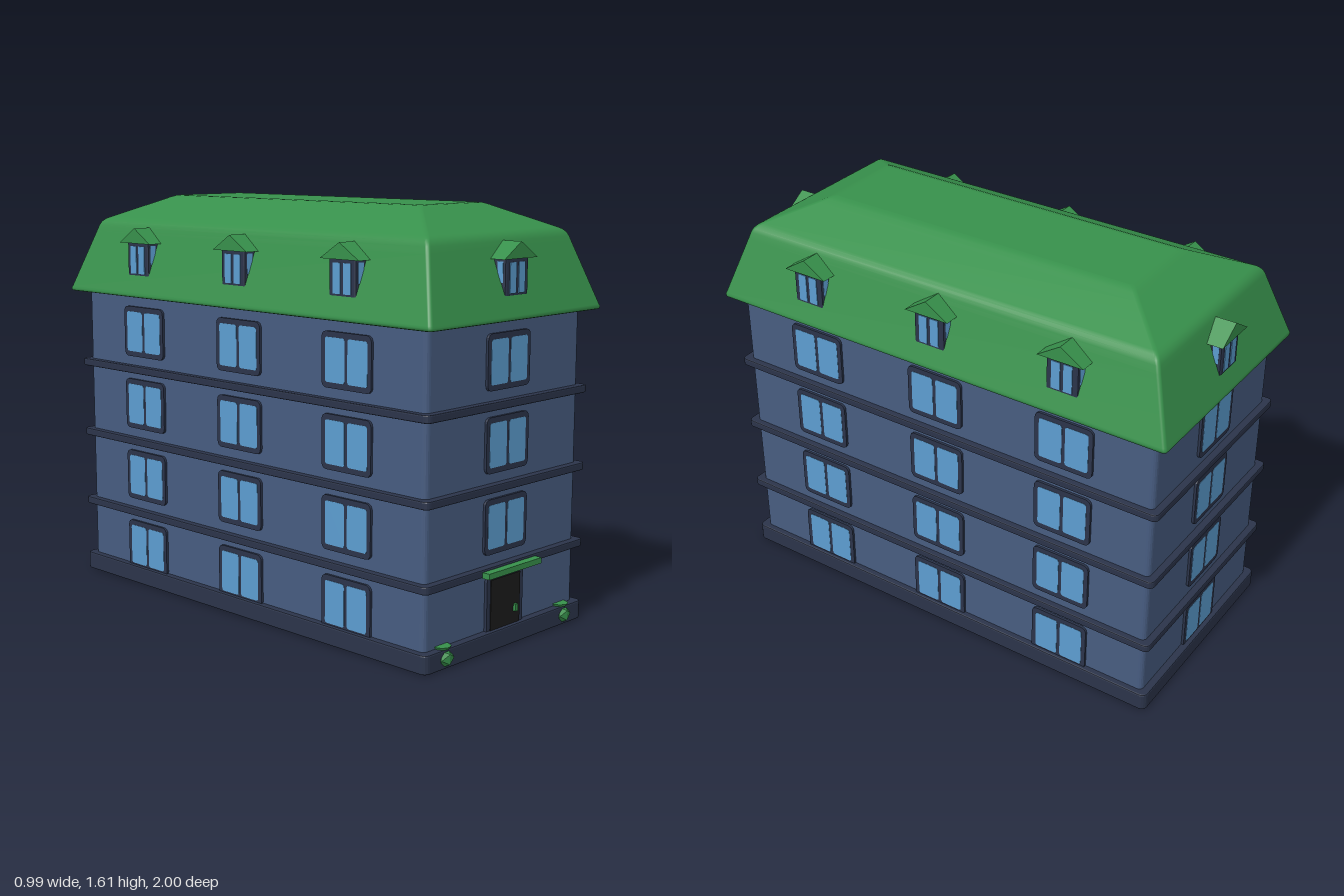
import * as THREE from 'three';

const mat = (name, color) => Object.assign(new THREE.MeshStandardMaterial({ color }), { name });

export function createModel() {
  const model = new THREE.Group();
  model.name = 'apartmentBuilding';

  const wallBlue = mat('wallBlue', 0x475c80);
  const trimNavy = mat('trimNavy', 0x2b344a);
  const glassBlue = mat('glassBlue', 0x5c9dd0);
  const roofGreen = mat('roofGreen', 0x37904b);
  const doorBlack = mat('doorBlack', 0x1b1b1b);

  const add = (parent, name, geo, material, x = 0, y = 0, z = 0) => {
    const m = new THREE.Mesh(geo, material);
    m.name = name;
    m.position.set(x, y, z);
    parent.add(m);
    return m;
  };

  // Rounded rectangle centred on the origin, as points and as a shape
  const ARC = 4;
  const roundPoints = (hx, hy, r) => {
    const pts = [];
    for (let c = 0; c < 4; c++) {
      const sx = c === 0 || c === 3 ? 1 : -1, sy = c < 2 ? 1 : -1;
      for (let i = 0; i <= ARC; i++) {
        const t = (c + i / ARC) * Math.PI / 2;
        pts.push(new THREE.Vector2(sx * (hx - r) + r * Math.cos(t), sy * (hy - r) + r * Math.sin(t)));
      }
    }
    return pts;
  };
  const roundRect = (hx, hy, r) => new THREE.Shape(roundPoints(hx, hy, r));

  // Horizontal slab with rounded corners and optional bevelled rims
  const slab = (hx, hz, y0, y1, r, b = 0) => {
    const g = new THREE.ExtrudeGeometry(roundRect(hx - b, hz - b, r), {
      depth: y1 - y0 - 2 * b, bevelEnabled: b > 0,
      bevelSize: b, bevelThickness: b, bevelSegments: 2,
    });
    return g.rotateX(-Math.PI / 2).translate(0, y0 + b, 0);
  };

  // Upright plate with rounded corners, growing towards +z
  const plate = (hx, hy, r, depth) => new THREE.ExtrudeGeometry(roundRect(hx, hy, r),
    { depth, bevelEnabled: false });

  // Walls, plinth and floor bands
  add(model, 'walls', slab(0.44, 0.94, 0.04, 1.22, 0.02), wallBlue);
  add(model, 'plinth', slab(0.466, 0.97, 0, 0.072, 0.02, 0.006), trimNavy);
  for (const y of [0.304, 0.606, 0.907]) {
    add(model, 'floorBand', slab(0.466, 0.969, y - 0.015, y + 0.015, 0.018, 0.005), trimNavy);
  }

  // Mansard roof: rounded rectangles stacked as [y, half width, half depth]
  const rings = [
    [1.21, 0.485, 0.99], [1.213, 0.493, 0.998], [1.222, 0.494, 1.0], [1.23, 0.491, 0.996],
    [1.46, 0.417, 0.918], [1.485, 0.409, 0.91], [1.5, 0.402, 0.902], [1.512, 0.39, 0.89],
    [1.52, 0.375, 0.875], [1.59, 0.225, 0.72], [1.602, 0.2, 0.695], [1.609, 0.182, 0.677],
    [1.611, 0.165, 0.66],
  ];
  const positions = [], indices = [];
  const n = 4 * (ARC + 1);
  for (const [y, hx, hz] of rings) {
    for (const p of roundPoints(hx, hz, 0.014)) positions.push(p.x, y, -p.y);
  }
  for (let k = 0; k < rings.length - 1; k++) {
    for (let i = 0; i < n; i++) {
      const a = k * n + i, b = k * n + (i + 1) % n;
      indices.push(a, b, b + n, a, b + n, a + n);
    }
  }
  const roofGeo = new THREE.BufferGeometry();
  roofGeo.setAttribute('position', new THREE.Float32BufferAttribute(positions, 3));
  roofGeo.setIndex(indices);
  roofGeo.computeVertexNormals();
  add(model, 'mansardRoof', roofGeo, roofGreen);
  const cap = (hx, hz) => new THREE.ShapeGeometry(roundRect(hx, hz, 0.014));
  add(model, 'roofTop', cap(0.165, 0.66).rotateX(-Math.PI / 2), roofGreen, 0, 1.611);
  add(model, 'roofUnderside', cap(0.485, 0.99).rotateX(Math.PI / 2), roofGreen, 0, 1.21);

  // Framed double window, in the local frame of one facade
  const frameGeo = plate(0.122, 0.103, 0.022, 0.02);
  const paneGeo = plate(0.0485, 0.082, 0.01, 0.003);
  const addWindow = (side, x, y, z) => {
    const g = new THREE.Group();
    g.name = 'window';
    add(g, 'windowFrame', frameGeo, trimNavy, 0, 0, -0.01);
    for (const s of [-1, 1]) add(g, 'windowPane', paneGeo, glassBlue, s * 0.0555, 0, 0.008);
    g.position.set(x, y, z);
    side.add(g);
  };

  // Dormer: tapered bay, gable roof and panes; z = 0 is the eave line
  const bay = new THREE.Shape([[-0.08, 0.12], [-0.074, 0.065], [-0.064, 0.027], [-0.058, 0.024],
    [0.058, 0.024], [0.064, 0.027], [0.074, 0.065], [0.08, 0.12]].map(p => new THREE.Vector2(...p)));
  const bayGeo = new THREE.ExtrudeGeometry(bay, { depth: 0.135, bevelEnabled: false })
    .rotateX(-Math.PI / 2);
  const gable = new THREE.Shape([[-0.095, 0], [0.095, 0], [0, 0.06]].map(p => new THREE.Vector2(...p)));
  const gableGeo = new THREE.ExtrudeGeometry(gable, { depth: 0.12, bevelEnabled: false });
  const dormerPaneGeo = new THREE.BoxGeometry(0.036, 0.11, 0.004);
  const cheekPaneGeo = new THREE.BoxGeometry(0.004, 0.075, 0.022);
  const addDormer = (side, x, z) => {
    const g = new THREE.Group();
    g.name = 'dormer';
    add(g, 'dormerBay', bayGeo, trimNavy, 0, 1.298, 0);
    add(g, 'dormerRoof', gableGeo, roofGreen, 0, 1.428, -0.128);
    for (const s of [-1, 1]) {
      add(g, 'dormerPane', dormerPaneGeo, glassBlue, s * 0.025, 1.36, -0.023);
      add(g, 'dormerCheekPane', cheekPaneGeo, glassBlue, s * 0.069, 1.382, -0.046)
        .rotation.y = -s * 0.26;
    }
    g.position.set(x, 0, z);
    side.add(g);
  };

  // Four facades, each built facing +z and turned into place
  const floors = [0.16, 0.461, 0.762, 1.063];
  const facades = [
    ['frontFacade', 0, 0.94, 1.0, [0], floors.slice(1)],
    ['leftFacade', Math.PI / 2, 0.44, 0.495, [-0.57, 0, 0.57], floors],
    ['backFacade', Math.PI, 0.94, 1.0, [0], floors],
    ['rightFacade', -Math.PI / 2, 0.44, 0.495, [-0.57, 0, 0.57], floors],
  ];
  for (const [name, turn, wall, eave, columns, levels] of facades) {
    const side = new THREE.Group();
    side.name = name;
    side.rotation.y = turn;
    for (const x of columns) {
      for (const y of levels) addWindow(side, x, y, wall);
      addDormer(side, x, eave);
    }
    model.add(side);
  }

  // Entrance: frame, door, handle and canopy
  const entrance = new THREE.Group();
  entrance.name = 'entrance';
  add(entrance, 'doorFrame', plate(0.106, 0.128, 0.022, 0.02), trimNavy, 0, 0.153, 0.932);
  add(entrance, 'door', new THREE.BoxGeometry(0.172, 0.192, 0.006), doorBlack, 0, 0.167, 0.952);
  add(entrance, 'doorHandle', new THREE.BoxGeometry(0.014, 0.028, 0.012), roofGreen, 0.055, 0.132, 0.96);
  add(entrance, 'doorCanopy', new THREE.BoxGeometry(0.31, 0.022, 0.07), roofGreen, 0, 0.299, 0.965);
  model.add(entrance);

  // Small faceted shrubs by the plinth
  const leafGeo = new THREE.IcosahedronGeometry(0.04, 0);
  for (const s of [-1, 1]) {
    const shrub = new THREE.Group();
    shrub.name = 'shrub';
    add(shrub, 'shrubLeaves', leafGeo, roofGreen, 0, 0.037, 0.96).scale.set(1, 0.9, 0.75);
    add(shrub, 'shrubTop', new THREE.CylinderGeometry(0.036, 0.03, 0.01, 8), roofGreen, 0, 0.076, 0.945);
    shrub.position.x = s * 0.35;
    model.add(shrub);
  }

  return model;
}
